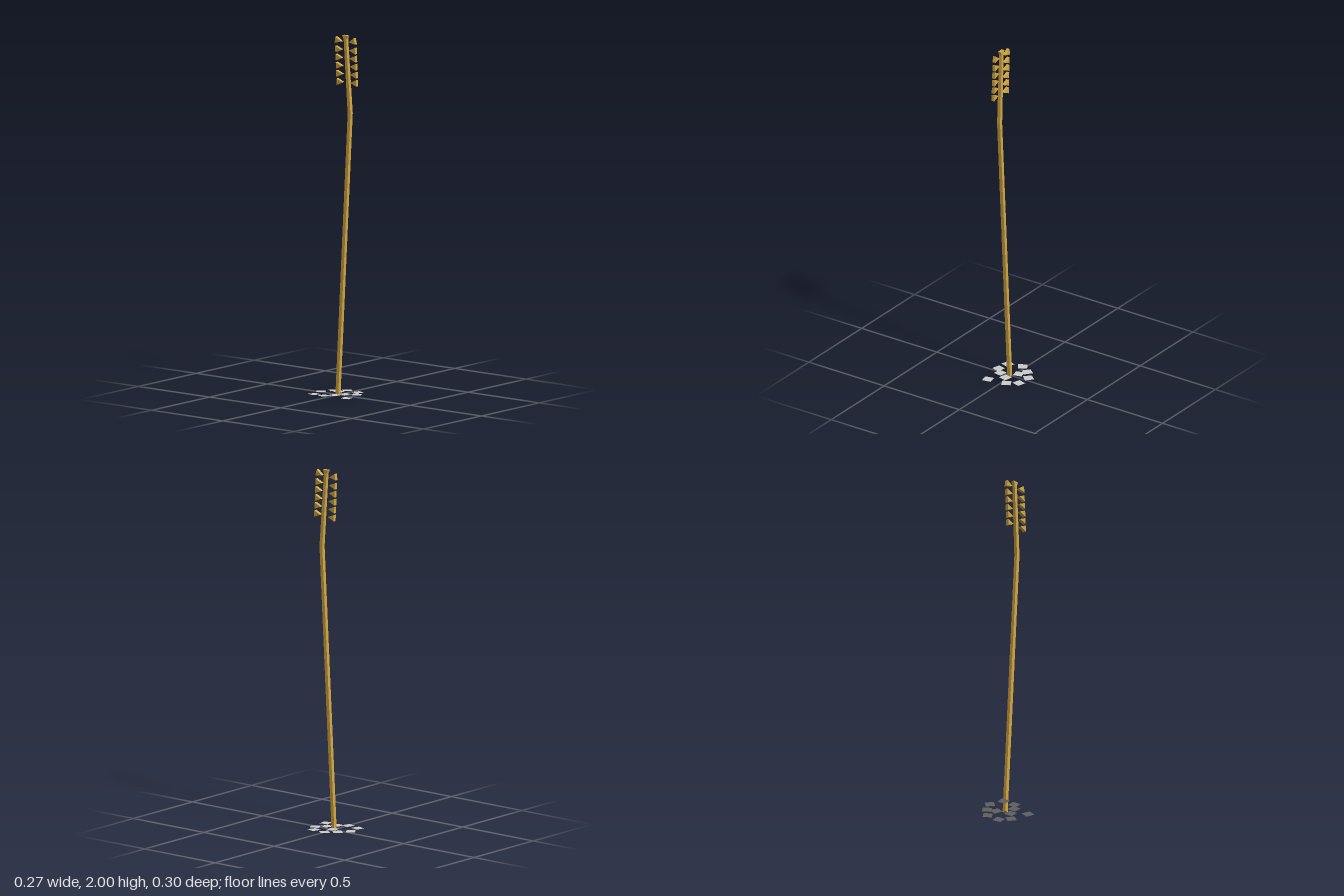
import * as THREE from 'three';

const GOLD = new THREE.MeshStandardMaterial({ color: 0xd4a843, flatShading: true });
const GREY = new THREE.MeshStandardMaterial({ color: 0xcccccc, flatShading: true, side: THREE.DoubleSide });

// Square stalk that leans forward, then bends back near the top
function makeStalk() {
  const rings = [
    { x: -0.013, y: 0, z: 0.005, w: 0.02 },
    { x: -0.017, y: 1.57, z: 0.094, w: 0.02 },
    { x: -0.023, y: 1.98, z: 0.069, w: 0.018 },
  ];
  const geo = new THREE.BoxGeometry(1, 2, 1, 1, 2, 1);
  const pos = geo.attributes.position;
  for (let i = 0; i < pos.count; i++) {
    const r = rings[Math.round(pos.getY(i) + 1)];
    pos.setXYZ(i, r.x + pos.getX(i) * r.w, r.y, r.z + pos.getZ(i) * r.w);
  }
  geo.computeVertexNormals();
  const mesh = new THREE.Mesh(geo, GOLD);
  mesh.name = 'stalk';
  return mesh;
}

// Wedge with its thin edge at the origin, widening along +x
function wedgeGeometry(length, height, width) {
  const shape = new THREE.Shape();
  shape.moveTo(0, 0);
  shape.lineTo(length, -height / 2);
  shape.lineTo(length, height / 2);
  shape.closePath();
  return new THREE.ExtrudeGeometry(shape, { depth: width, bevelEnabled: false }).translate(0, 0, -width / 2);
}

// Grains: a front row, a back row and one at the tip
function makeEar() {
  const ear = new THREE.Group();
  ear.name = 'ear';
  const geo = wedgeGeometry(0.042, 0.036, 0.018);
  const addGrain = (name, y, z, side, tilt) => {
    const grain = new THREE.Mesh(geo, GOLD);
    grain.name = name;
    grain.position.set(-0.024, y, z);
    grain.rotation.set(0, -side * Math.PI / 2, tilt);
    ear.add(grain);
  };
  for (let i = 0; i < 6; i++) {
    const t = i / 5;
    const tilt = i === 5 ? 0.25 : 0.03;
    addGrain('frontGrain', 1.743 + 0.222 * t, 0.106 - 0.011 * t, 1, tilt);
    addGrain('backGrain', 1.739 + 0.224 * t, 0.052 - 0.01 * t, -1, i === 5 ? 0.15 : -0.02);
  }
  addGrain('tipGrain', 1.958, 0.069, 1, Math.PI / 2);
  return ear;
}

// Loose square patches scattered round the foot: x, z, turn in degrees
function makeGroundPatches() {
  const patches = [
    [-0.095, -0.095, 16], [-0.011, -0.115, -34], [0.05, -0.073, 38], [0.096, -0.018, 41],
    [0.029, -0.022, -14], [-0.104, -0.02, 14], [-0.063, 0.022, 8], [-0.008, 0.053, 13],
    [0.088, 0.062, 16], [0.033, 0.101, -28], [-0.078, 0.117, -12],
  ];
  const group = new THREE.Group();
  group.name = 'groundPatches';
  const geo = new THREE.PlaneGeometry(0.051, 0.051).rotateX(-Math.PI / 2);
  for (const [x, z, turn] of patches) {
    const patch = new THREE.Mesh(geo, GREY);
    patch.name = 'groundPatch';
    patch.position.set(x, 0.013 - 0.05 * Math.hypot(x, z), z);
    patch.rotation.y = -THREE.MathUtils.degToRad(turn);
    group.add(patch);
  }
  return group;
}

export function createModel() {
  const model = new THREE.Group();
  model.name = 'grainStalk';
  model.add(makeStalk(), makeEar(), makeGroundPatches());
  return model;
}
